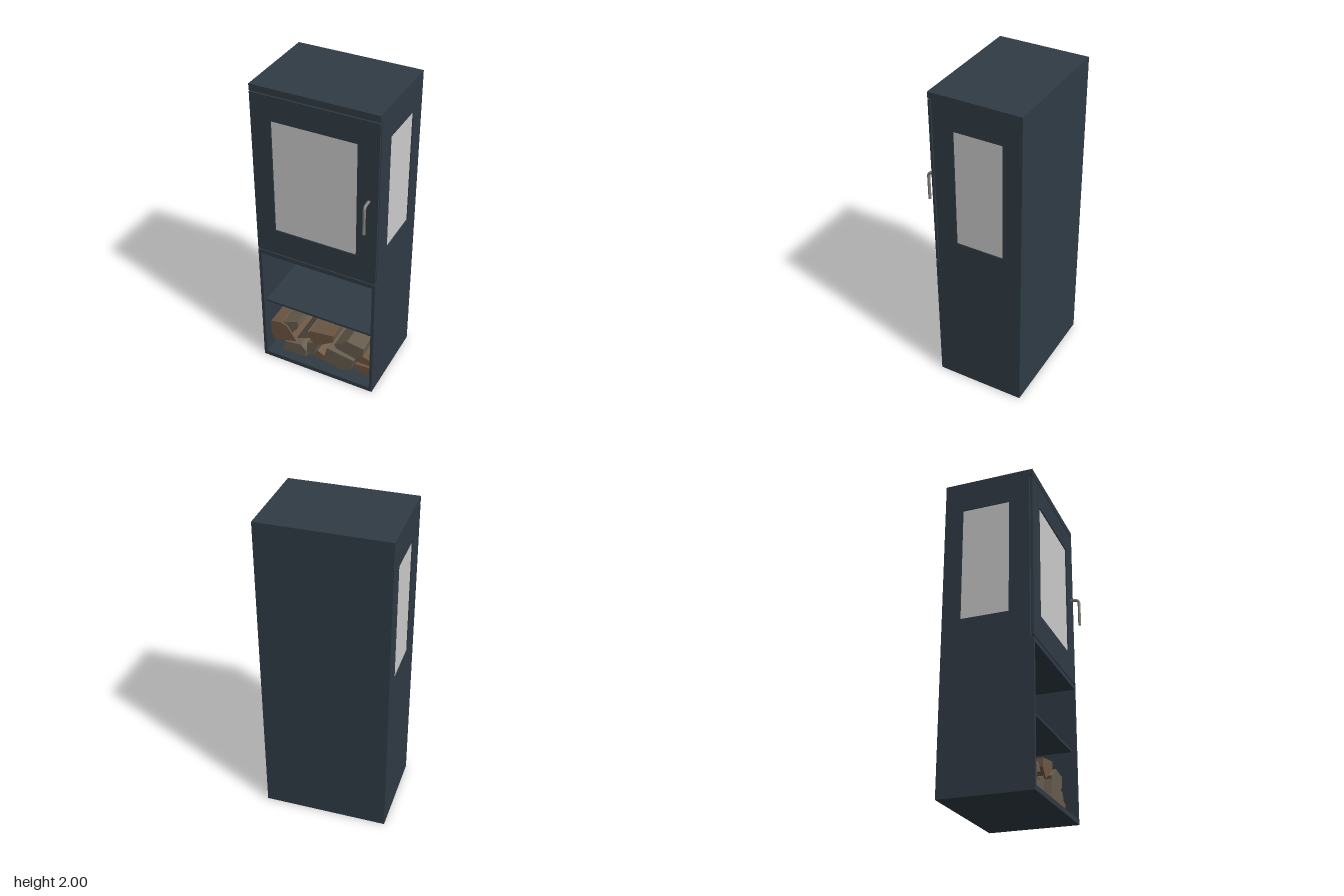
import * as THREE from 'three';

const steel = new THREE.MeshStandardMaterial({ color: 0x303b45 });
const glass = new THREE.MeshStandardMaterial({ color: 0xcccccc });
const metal = new THREE.MeshStandardMaterial({ color: 0x807f7c });
const bark = new THREE.MeshStandardMaterial({ color: 0x6e5743 });
const wood = new THREE.MeshStandardMaterial({ color: 0x685d4e });

const W = 0.39, BACK = -0.317, FRONT = 0.25, T = 0.02;

export function createModel() {
  const model = new THREE.Group();
  model.name = 'woodStove';

  const add = (name, geometry, material, parent = model) => {
    const mesh = new THREE.Mesh(geometry, material);
    mesh.name = name;
    parent.add(mesh);
    return mesh;
  };
  // Box given by its minimum and maximum corners
  const box = (name, [x0, y0, z0], [x1, y1, z1], material = steel) => {
    const mesh = add(name, new THREE.BoxGeometry(x1 - x0, y1 - y0, z1 - z0), material);
    mesh.position.set((x0 + x1) / 2, (y0 + y1) / 2, (z0 + z1) / 2);
    return mesh;
  };
  const polygon = (points) => new THREE.Shape(points.map(([x, y]) => new THREE.Vector2(x, y)));
  const rect = (x0, y0, x1, y1) => polygon([[x0, y0], [x1, y0], [x1, y1], [x0, y1]]);
  const extrude = (shape, depth) => new THREE.ExtrudeGeometry(shape, { depth, bevelEnabled: false });

  // Side walls: stepped back behind the door, with a window each
  const DOOR_Y0 = 0.887, DOOR_Y1 = 1.953, STEP = 0.228;
  const sideShape = polygon([
    [BACK, 0], [FRONT, 0], [FRONT, 0.88], [STEP, 0.88],
    [STEP, 1.96], [FRONT, 1.96], [FRONT, 2], [BACK, 2],
  ]);
  sideShape.holes.push(rect(-0.2, 1.06, 0.1, 1.8));
  for (const side of [1, -1]) {
    const label = side > 0 ? 'left' : 'right';
    const wall = add(label + 'Wall', extrude(sideShape, T).rotateY(-Math.PI / 2), steel);
    wall.position.x = side > 0 ? W : -W + T;
    const pane = add(label + 'Window', new THREE.BoxGeometry(0.006, 0.74, 0.3), glass);
    pane.position.set(side * (W - 0.009), 1.43, -0.05);
  }

  // Carcass panels between the walls
  const X = W - T;
  box('backPanel', [-X, 0, BACK], [X, 2, BACK + T]);
  box('topPanel', [-X, 1.96, BACK + T], [X, 2, FRONT]);
  box('bottomPanel', [-X, 0, BACK + T], [X, 0.03, FRONT]);
  box('fireboxFloor', [-X, 0.85, BACK + T], [X, 0.88, FRONT]);
  box('fireboxFront', [-X, 0.88, STEP - 0.01], [X, 1.96, STEP]);
  box('shelf', [-X, 0.445, BACK + T], [X, 0.46, 0.222]);

  // Door with its window
  const door = new THREE.Group();
  door.name = 'door';
  model.add(door);
  const doorShape = rect(-W, DOOR_Y0, W, DOOR_Y1);
  doorShape.holes.push(rect(-0.263, 1.06, 0.263, 1.8));
  add('doorFrame', extrude(doorShape, 0.015), steel, door).position.z = 0.235;
  add('doorWindow', new THREE.BoxGeometry(0.526, 0.74, 0.006), glass, door).position.set(0, 1.43, 0.24);

  // Bent rod handle
  const v = (y, z) => new THREE.Vector3(0.336, y, z);
  const path = new THREE.CurvePath();
  path.add(new THREE.LineCurve3(v(1.456, 0.245), v(1.456, 0.275)));
  path.add(new THREE.QuadraticBezierCurve3(v(1.456, 0.275), v(1.456, 0.307), v(1.424, 0.307)));
  path.add(new THREE.LineCurve3(v(1.424, 0.307), v(1.273, 0.307)));
  add('handle', new THREE.TubeGeometry(path, 40, 0.009, 16), metal, door);
  const cap = add('handleEnd', new THREE.CircleGeometry(0.009, 16).rotateX(Math.PI / 2), metal, door);
  cap.position.copy(v(1.273, 0.307));

  // Split logs: end outlines, front position, kind of wood
  const logs = [
    [[[-0.365, 0.25], [-0.29, 0.265], [-0.25, 0.25], [-0.18, 0.145], [-0.34, 0.097], [-0.367, 0.16]], 0.19, bark],
    [[[-0.285, 0.265], [-0.175, 0.307], [-0.17, 0.26], [-0.235, 0.168]], 0.18, wood],
    [[[-0.19, 0.155], [-0.105, 0.247], [-0.053, 0.207]], 0.17, wood],
    [[[-0.085, 0.275], [0.09, 0.302], [0.085, 0.248], [-0.037, 0.165], [-0.085, 0.222]], 0.19, bark],
    [[[0.09, 0.222], [0.18, 0.286], [0.296, 0.27], [0.291, 0.206], [0.238, 0.164], [0.106, 0.196]], 0.18, wood],
    [[[0.21, 0.133], [0.265, 0.196], [0.328, 0.185], [0.355, 0.132]], 0.17, bark],
    [[[0.048, 0.19], [0.238, 0.159], [0.217, 0.074], [0.153, 0.042], [0.021, 0.079]], 0.2, wood],
    [[[0.227, 0.07], [0.24, 0.118], [0.354, 0.126], [0.349, 0.037]], 0.18, bark],
    [[[-0.106, 0.153], [-0.048, 0.18], [-0.032, 0.169], [-0.063, 0.058], [-0.095, 0.048], [-0.111, 0.069]], 0.18, wood],
    [[[-0.29, 0.032], [-0.264, 0.111], [-0.148, 0.127], [-0.111, 0.085], [-0.116, 0.032]], 0.19, wood],
    [[[-0.06, 0.04], [-0.037, 0.106], [0.058, 0.058], [0.063, 0.032]], 0.17, bark],
  ];
  const pile = new THREE.Group();
  pile.name = 'logPile';
  model.add(pile);
  logs.forEach(([points, front, material], i) => {
    const log = add('log' + (i + 1), extrude(polygon(points), 0.46), material, pile);
    log.position.z = front - 0.46;
  });

  return model;
}
